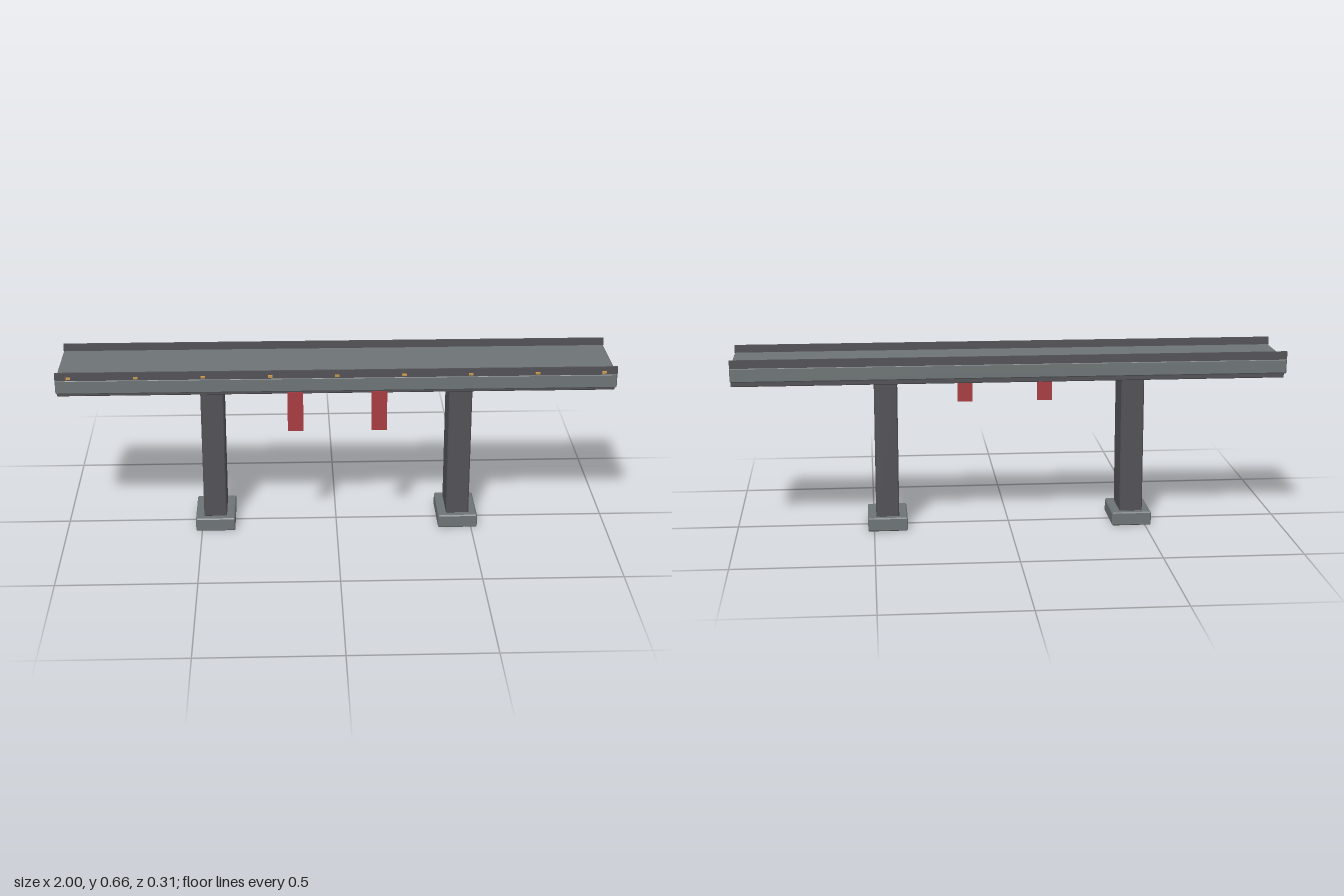
import * as THREE from 'three';
import { ConvexGeometry } from 'three/addons/geometries/ConvexGeometry.js';

const paint = (color) => new THREE.MeshStandardMaterial({ color });

// Box with chamfered edges: each corner becomes three points
function chamferBox(w, h, d, c) {
  const points = [];
  for (const sx of [-1, 1]) for (const sy of [-1, 1]) for (const sz of [-1, 1]) {
    for (const [ix, iy, iz] of [[0, c, c], [c, 0, c], [c, c, 0]]) {
      points.push(new THREE.Vector3(sx * (w / 2 - ix), sy * (h / 2 - iy), sz * (d / 2 - iz)));
    }
  }
  return new ConvexGeometry(points);
}

export function createModel() {
  const bridge = new THREE.Group();
  bridge.name = 'bridge';

  const concrete = paint(0x6e7476);
  const darkConcrete = paint(0x525257);
  const lampMaterial = paint(0xc8964a);
  const bannerMaterial = paint(0xa83c42);
  bannerMaterial.side = THREE.DoubleSide;

  const midZ = -0.002; // the lamps on the front shift the structure back slightly

  const add = (name, geometry, material, x, y, z, parent = bridge) => {
    const mesh = new THREE.Mesh(geometry, material);
    mesh.name = name;
    mesh.position.set(x, y, z);
    parent.add(mesh);
    return mesh;
  };

  // Road deck and the girder below it
  add('deck', chamferBox(2, 0.053, 0.3, 0.004), concrete, 0, 0.6015, midZ);
  add('girder', chamferBox(2, 0.024, 0.222, 0.002), darkConcrete, 0, 0.564, midZ);

  // Parapets along both edges
  for (const [name, side] of [['frontParapet', 1], ['backParapet', -1]]) {
    add(name, new THREE.BoxGeometry(2, 0.03, 0.006), darkConcrete, 0, 0.641, midZ + side * 0.146);
  }

  // Piers: footing and column
  const footing = chamferBox(0.145, 0.05, 0.2, 0.004);
  const column = chamferBox(0.084, 0.508, 0.15, 0.004);
  for (const [name, x] of [['rightPier', -0.45], ['leftPier', 0.45]]) {
    const pier = new THREE.Group();
    pier.name = name;
    pier.position.set(x, 0, midZ);
    add('footing', footing, concrete, 0, 0.025, 0, pier);
    add('column', column, darkConcrete, 0, 0.301, 0, pier);
    bridge.add(pier);
  }

  // Small lamps along the outside of the front parapet
  const lamp = new THREE.BoxGeometry(0.016, 0.007, 0.007);
  for (let i = -4; i <= 4; i++) add('lamp', lamp, lampMaterial, i * 0.238, 0.636, 0.1505);

  // Banners hanging below the front edge
  const banner = new THREE.BoxGeometry(0.056, 0.15, 0.002);
  for (const x of [-0.15, 0.15]) add('banner', banner, bannerMaterial, x, 0.5, 0.151);

  return bridge;
}
